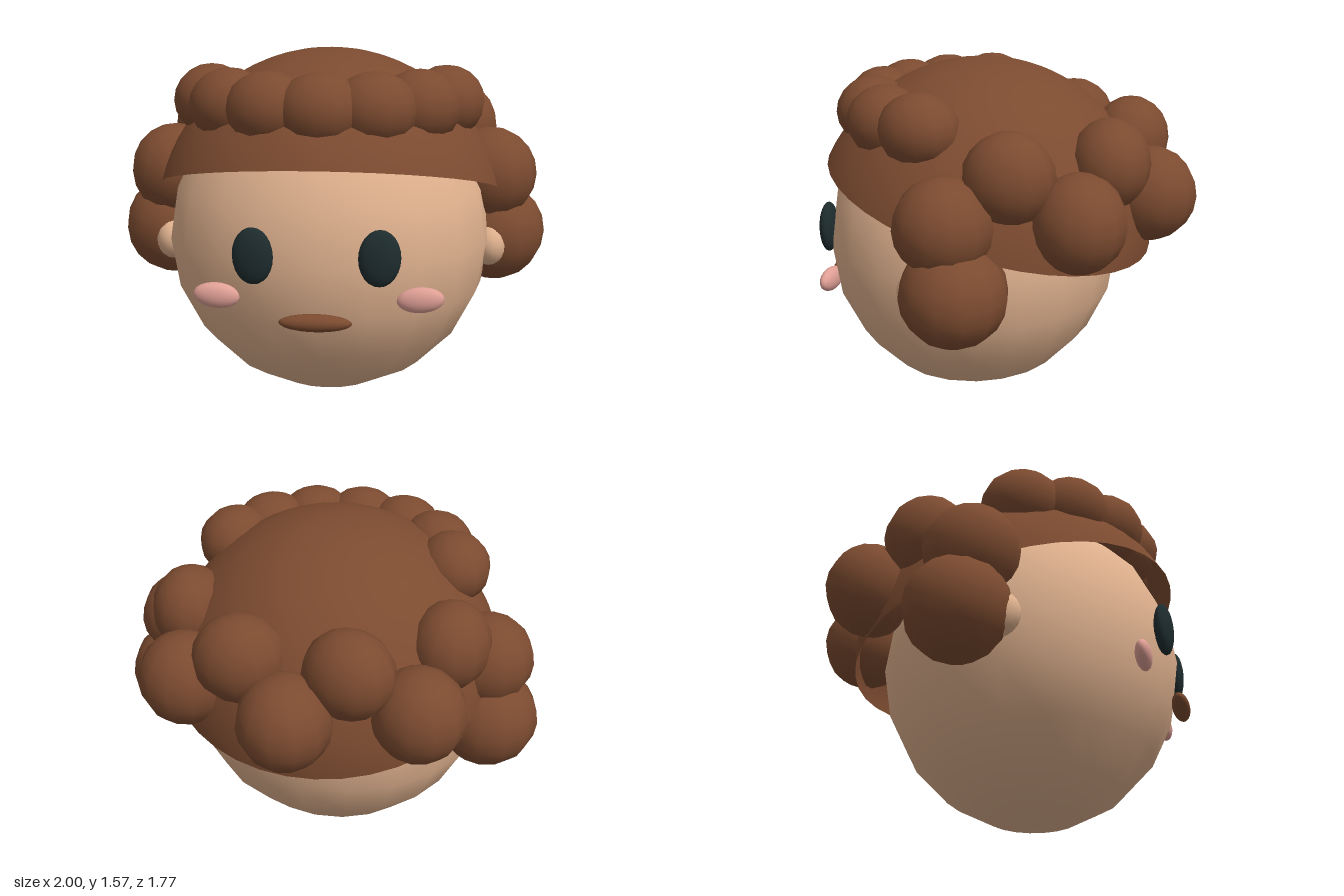
import * as THREE from 'three';

const material = (name, color, extra = {}) => {
  const m = new THREE.MeshStandardMaterial({ color, ...extra });
  m.name = name;
  return m;
};

export function createModel() {
  const model = new THREE.Group();
  model.name = 'curlyHead';

  const skin = material('skin', 0xdfb18e);
  const hair = material('hair', 0x7c4b30, { side: THREE.DoubleSide });
  const eyeDark = material('eyeDark', 0x1e2c2e);
  const blush = material('blush', 0xe0a096);

  const headBall = new THREE.SphereGeometry(1, 20, 10);
  const curlBall = new THREE.SphereGeometry(1, 12, 10);
  const smallBall = new THREE.SphereGeometry(1, 18, 12);

  const add = (name, geo, mat, pos, scale, rot = [0, 0, 0]) => {
    const mesh = new THREE.Mesh(geo, mat);
    mesh.name = name;
    mesh.position.set(...pos);
    mesh.scale.set(...scale);
    mesh.rotation.set(...rot);
    model.add(mesh);
  };
  // Places a part on both sides of the head
  const pair = (name, geo, mat, [x, y, z], scale, [rx, ry, rz] = [0, 0, 0]) => {
    add(name + 'Left', geo, mat, [x, y, z], scale, [rx, ry, rz]);
    add(name + 'Right', geo, mat, [-x, y, z], scale, [rx, -ry, -rz]);
  };

  // Head
  add('head', headBall, skin, [0, 0.735, 0.16], [0.738, 0.73, 0.685]);

  // Open hair cap, tipped back
  const capGeo = new THREE.SphereGeometry(0.8, 40, 16, 0, Math.PI * 2, 0, 1.379);
  add('hairCap', capGeo, hair, [0, 0.778, 0.127], [1, 1, 1], [-0.277, 0, 0]);

  // Fringe curls along the forehead
  for (let i = -3; i <= 3; i++) {
    const a = i * 0.419;
    add('fringeCurl', curlBall, hair,
      [0.55 * Math.sin(a), 1.35, 0.07 + 0.55 * Math.cos(a)],
      [0.188, 0.162, 0.172], [0, a, 0]);
  }

  // Side and back curls
  pair('lowerSideCurl', curlBall, hair, [0.765, 0.72, 0.012], [0.235, 0.232, 0.235]);
  pair('sideCurl', curlBall, hair, [0.735, 1.0, 0.063], [0.215, 0.215, 0.217]);
  pair('upperSideCurl', curlBall, hair, [0.6, 1.19, -0.18], [0.178, 0.2, 0.2], [0, 0.2, 0]);
  pair('backSideCurl', curlBall, hair, [0.53, 1.0, -0.465], [0.21, 0.217, 0.205]);
  pair('upperBackCurl', curlBall, hair, [0.24, 1.19, -0.53], [0.207, 0.2, 0.18], [0, 0.2, 0]);
  add('backCurl', curlBall, hair, [0, 1.0, -0.67], [0.21, 0.217, 0.215]);

  // Ears
  pair('ear', smallBall, skin, [0.735, 0.695, 0.165], [0.085, 0.105, 0.112]);

  // Face
  pair('eye', smallBall, eyeDark, [0.26, 0.78, 0.815], [0.088, 0.12, 0.04], [0, 0.15, 0]);
  pair('cheek', smallBall, blush, [0.427, 0.585, 0.735], [0.1, 0.055, 0.036], [0, 0, 0.08]);
  add('mouth', smallBall, hair, [0, 0.511, 0.848], [0.152, 0.037, 0.04]);

  return model;
}
